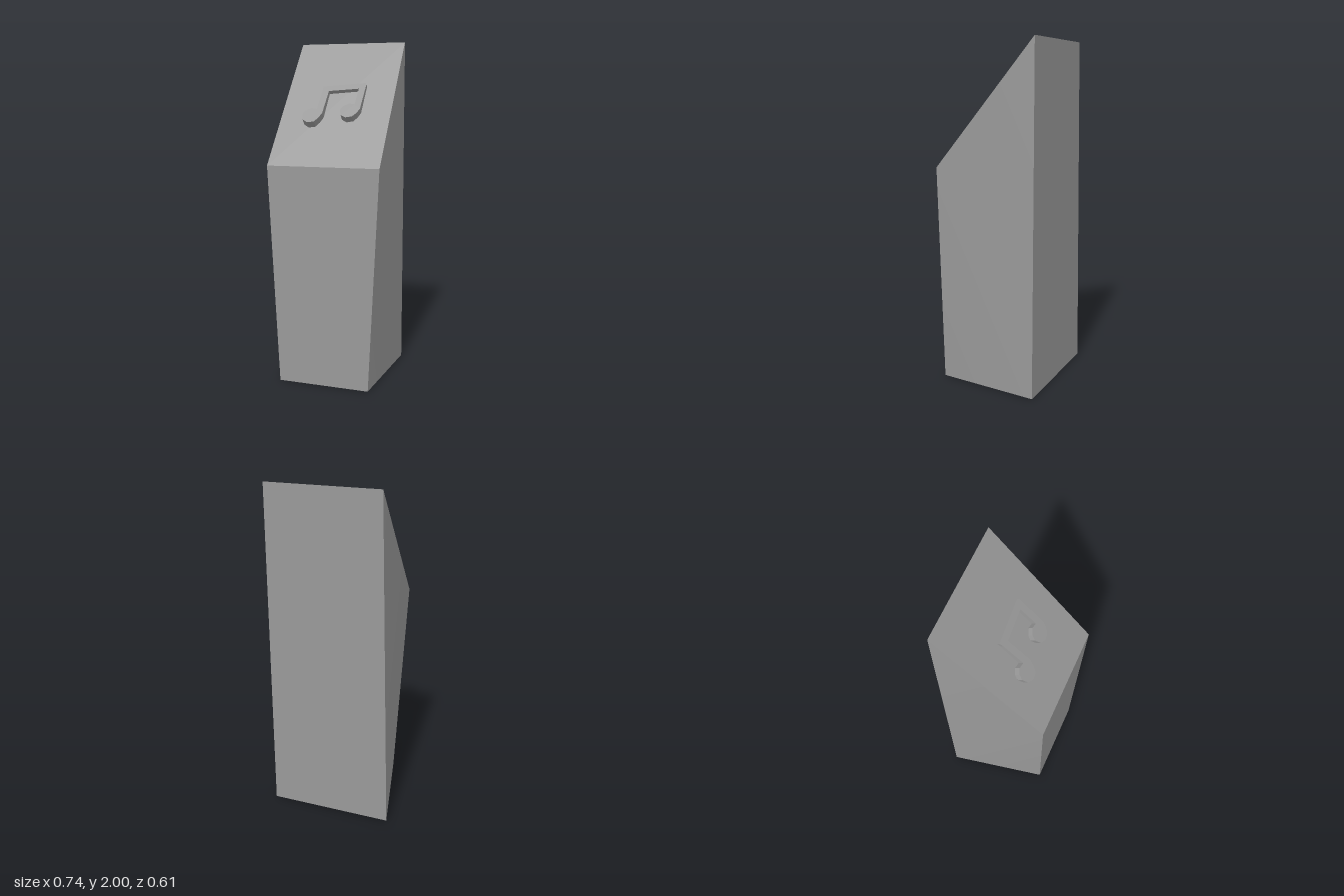
import * as THREE from 'three';
import { mergeGeometries } from 'three/addons/utils/BufferGeometryUtils.js';

// Four-cornered face, counter-clockwise, split along a-c and smooth across the split
function quad(a, b, c, d) {
  const g = new THREE.BufferGeometry();
  g.setAttribute('position', new THREE.Float32BufferAttribute([a, b, c, d].flat(), 3));
  g.setIndex([0, 1, 2, 0, 2, 3]);
  g.computeVertexNormals();
  return g;
}

export function createModel() {
  const group = new THREE.Group();
  const grey = new THREE.MeshStandardMaterial({ color: 0x999999 });
  grey.name = 'grey';

  // Pillar corners: [bottom, top] for each upright edge
  const Z = 0.305;
  const frontL = [[0.3, 0, Z], [0.355, 1.285, Z]];
  const frontR = [[-0.24, 0, Z], [-0.305, 1.285, Z]];
  const backL = [[0.365, 0, -Z], [0.355, 2, -Z]];
  const backR = [[-0.37, 0, -Z], [-0.305, 2, -Z]];

  const pillar = new THREE.Mesh(mergeGeometries([
    quad(frontR[0], frontL[0], frontL[1], frontR[1]), // front
    quad(backL[0], backR[0], backR[1], backL[1]), // back
    quad(backL[0], backL[1], frontL[1], frontL[0]), // left, twisted
    quad(backR[0], frontR[0], frontR[1], backR[1]), // right, twisted
    quad(frontR[1], frontL[1], backL[1], backR[1]), // sloping top
    quad(backR[0], backL[0], frontL[0], frontR[0]), // underside
  ]), grey);
  pillar.name = 'pillar';
  group.add(pillar);

  // Raised pair of beamed notes; outline as [x, z] in plan, stretched onto a 45 degree plane
  const outline = [
    [-0.083, -0.049], [0.173, -0.068], [0.18, -0.06], [0.18, 0.08], [0.165, 0.104],
    [0.145, 0.122], [0.107, 0.128], [0.075, 0.115], [0.062, 0.085], [0.075, 0.066],
    [0.107, 0.05], [0.141, 0.055], [0.141, -0.035], [-0.04, -0.022], [-0.04, 0.105],
    [-0.055, 0.131], [-0.075, 0.152], [-0.115, 0.157], [-0.147, 0.142], [-0.158, 0.11],
    [-0.145, 0.091], [-0.115, 0.077], [-0.08, 0.082], [-0.08, -0.03],
  ];
  const shape = new THREE.Shape(outline.map(([x, z]) => new THREE.Vector2(x, -z * Math.SQRT2)));
  const depth = 0.048;
  const noteGeometry = new THREE.ExtrudeGeometry(shape, { depth, bevelEnabled: false });
  noteGeometry.translate(0, 0, -depth);
  const note = new THREE.Mesh(noteGeometry, grey);
  note.name = 'musicNote';
  note.position.y = 1.684;
  note.rotation.x = -Math.PI / 4;
  group.add(note);

  return group;
}
